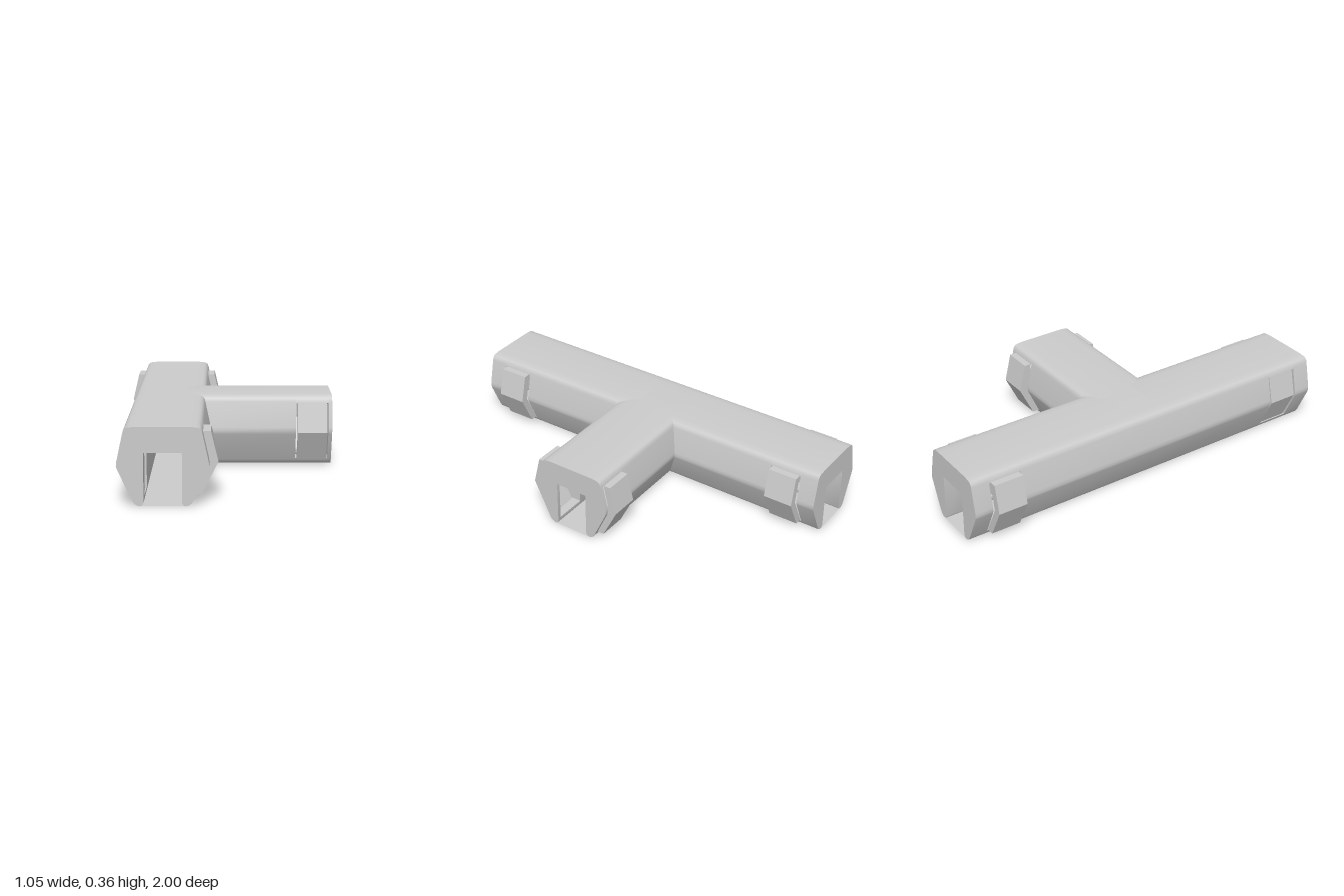
import * as THREE from 'three';
import { mergeGeometries, toCreasedNormals } from 'three/addons/utils/BufferGeometryUtils.js';

const TOP = 0.357, SLOT = 0.085, CEIL = 0.24;   // arm height, slot half width, slot ceiling
const LOW = 0.03, HIGH = 0.32;                  // clip window bottom and top
const GAP = 0.008;                              // clearance beside each clip

const material = new THREE.MeshStandardMaterial({ color: 0xcccccc, side: THREE.DoubleSide });

// Half profile pieces, listed from the inside outwards
const foot = [[SLOT, 0.015], [0.09, 0.005], [0.1, 0], [0.112, 0.002], [0.125, 0.01], [0.135, 0.025]];
const flank = [[0.2, 0.165], [0.205, 0.18], [0.203, 0.2], [0.176, 0.325]];
const shoulder = [[0.172, 0.34], [0.163, 0.35], [0.15, 0.354], [0.12, TOP]];
const fullHalf = [[SLOT, CEIL], ...foot, ...flank, ...shoulder];
const roofHalf = [[SLOT, CEIL], [SLOT, HIGH], [0.177, HIGH], ...shoulder];
const plainHalf = [[SLOT, CEIL], [SLOT, TOP]];
const tipPiece = [[SLOT, LOW], ...foot, [0.137, LOW]];
const clipPiece = [[0.175, HIGH], [0.205, 0.18], [0.13, LOW], [0.17, LOW], [0.245, 0.18], [0.212, HIGH]];

const mirror = pts => pts.map(([x, y]) => [-x, y]).reverse();

// Extrude a cross-section from z = a to z = b
function prism(pts, a, b) {
  const shape = new THREE.Shape(pts.map(p => new THREE.Vector2(...p)));
  const geo = new THREE.ExtrudeGeometry(shape, { depth: b - a, bevelEnabled: false });
  return geo.translate(0, 0, a);
}

// Slotted section, with a chosen half profile on each side
const solid = (a, b, right = fullHalf, left = fullHalf) => [prism([...right, ...mirror(left)], a, b)];

// Section whose side walls are cut away, leaving roof and feet
const windowed = (a, b) => [
  ...solid(a, b, roofHalf, roofHalf),
  prism(tipPiece, a, b),
  prism(mirror(tipPiece), a, b),
];

function addMesh(group, name, geo) {
  const mesh = new THREE.Mesh(geo, material);
  mesh.name = name;
  group.add(mesh);
  return mesh;
}

function addBody(group, name, parts) {
  addMesh(group, name, toCreasedNormals(mergeGeometries(parts), 0.55));
}

// Thin sheet closing the underside of the slot
function addFloor(group, a, b) {
  const geo = new THREE.PlaneGeometry(0.2, b - a).rotateX(Math.PI / 2);
  addMesh(group, 'floor', geo.translate(0, 0.001, (a + b) / 2));
}

// Side clip filling a window; inset pushes it inwards
function addClip(group, side, a, b, inset = 0) {
  const pts = clipPiece.map(([x, y]) => [x - inset, y]);
  addMesh(group, 'clip', toCreasedNormals(prism(side > 0 ? pts : mirror(pts), a, b), 0.3));
}

export function createModel() {
  const model = new THREE.Group();
  model.name = 'teeConnector';

  // Long arm along z, its right wall open where the branch joins
  const bar = new THREE.Group();
  bar.name = 'mainArm';
  bar.position.x = -0.283;
  const w0 = 0.75 - GAP, w1 = 0.9 + GAP;
  addBody(bar, 'mainBody', [
    ...solid(-1, -w1), ...windowed(-w1, -w0), ...solid(-w0, -SLOT),
    ...solid(-SLOT, SLOT, plainHalf, fullHalf),
    ...solid(SLOT, w0), ...windowed(w0, w1), ...solid(w1, 1),
  ]);
  addFloor(bar, -1, 1);
  for (const side of [-1, 1]) {
    addClip(bar, side, -0.9, -0.75);
    addClip(bar, side, 0.75, 0.9, side < 0 ? 0.04 : 0);   // one clip is pressed in
  }
  model.add(bar);

  // Short arm, built along z and turned to +x
  const branch = new THREE.Group();
  branch.name = 'branchArm';
  branch.rotation.y = Math.PI / 2;
  const start = bar.position.x + SLOT;
  const b0 = 0.35 - GAP, b1 = 0.495 + GAP;
  addBody(branch, 'branchBody', [...solid(start, b0), ...windowed(b0, b1), ...solid(b1, 0.522)]);
  addFloor(branch, start, 0.522);
  for (const side of [-1, 1]) addClip(branch, side, 0.35, 0.495);
  model.add(branch);

  return model;
}
